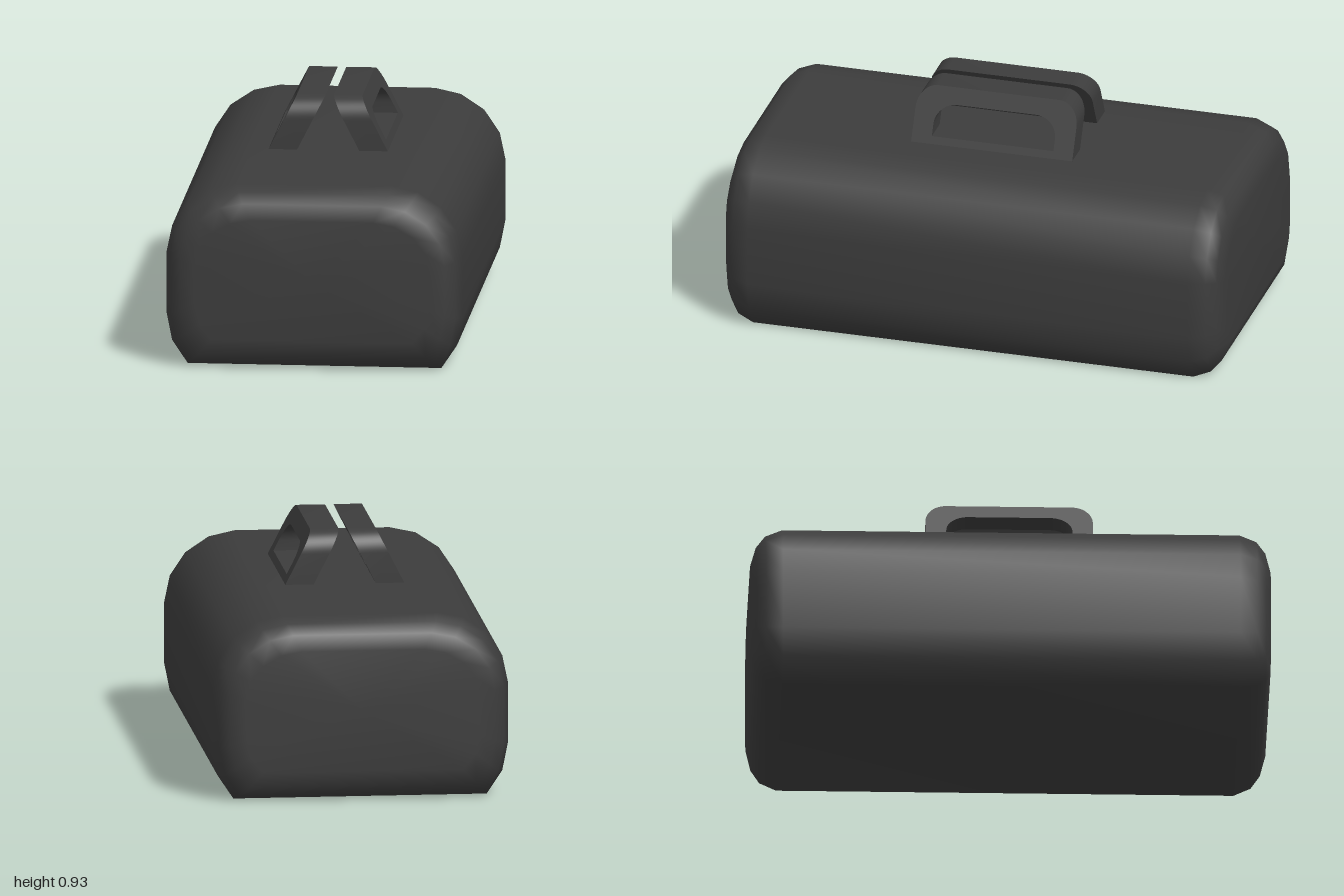
import * as THREE from 'three';
import { toCreasedNormals } from 'three/addons/utils/BufferGeometryUtils.js';

// Right half of the bag's cross-section, bottom to top
const HALF = [[0.49, 0], [0.55, 0.09], [0.572, 0.2], [0.572, 0.435],
  [0.55, 0.54], [0.49, 0.63], [0.4, 0.69], [0.3, 0.712]];
// Rounded ends: [z, inset of the cross-section]
const END = [[1, 0.12], [0.98, 0.06], [0.945, 0.022], [0.88, 0]];

function bodyGeometry() {
  const profile = [...HALF, ...HALF.map(([x, y]) => [-x, y]).reverse()];
  const rings = [...END.map(([z, d]) => [-z, d]), ...[...END].reverse()];
  const n = profile.length, mid = 0.356;
  const pos = [], idx = [];
  for (const [z, d] of rings) {
    for (const [x, y] of profile) {
      pos.push(x * (0.572 - d) / 0.572, mid + (y - mid) * (mid - d) / mid, z);
    }
  }
  for (let i = 0; i < rings.length - 1; i++) {
    for (let j = 0; j < n; j++) {
      const k = (j + 1) % n;
      const a = i * n + j, b = i * n + k;
      idx.push(a, b, b + n, a, b + n, a + n);
    }
  }
  // Flat end caps
  const back = pos.length / 3, front = back + 1, last = (rings.length - 1) * n;
  pos.push(0, mid, -1, 0, mid, 1);
  for (let j = 0; j < n; j++) {
    const k = (j + 1) % n;
    idx.push(back, k, j, front, last + j, last + k);
  }
  const g = new THREE.BufferGeometry();
  g.setAttribute('position', new THREE.Float32BufferAttribute(pos, 3));
  g.setIndex(idx);
  g.computeVertexNormals();
  return g;
}

// Loop with square lower and rounded upper corners
function arch(path, w, y0, y1, rx, ry) {
  path.moveTo(-w, y0);
  path.lineTo(w, y0);
  path.lineTo(w, y1 - ry);
  path.absellipse(w - rx, y1 - ry, rx, ry, 0, Math.PI / 2, false);
  path.lineTo(-w + rx, y1);
  path.absellipse(-w + rx, y1 - ry, rx, ry, Math.PI / 2, Math.PI, false);
  path.closePath();
  return path;
}

function handleGeometry() {
  const shape = arch(new THREE.Shape(), 0.322, 0.725, 0.928, 0.08, 0.085);
  shape.holes.push(arch(new THREE.Path(), 0.243, 0.752, 0.868, 0.085, 0.075));
  const g = new THREE.ExtrudeGeometry(shape, { depth: 0.11, bevelEnabled: false, curveSegments: 6 });
  g.rotateY(Math.PI / 2);
  // Lean the handle inward
  const p = g.attributes.position;
  for (let i = 0; i < p.count; i++) {
    p.setX(i, p.getX(i) + 0.12 - (p.getY(i) - 0.725) * 0.51);
  }
  return toCreasedNormals(g, 0.6);
}

export function createModel() {
  const fabric = new THREE.MeshStandardMaterial({ color: 0x3c3c3c });
  fabric.name = 'charcoal fabric';
  const model = new THREE.Group();
  model.name = 'duffelBag';

  const body = new THREE.Mesh(bodyGeometry(), fabric);
  body.name = 'bagBody';
  model.add(body);

  const geometry = handleGeometry();
  for (const side of ['left', 'right']) {
    const handle = new THREE.Mesh(geometry, fabric);
    handle.name = side + 'Handle';
    if (side === 'right') handle.rotation.y = Math.PI;
    model.add(handle);
  }
  return model;
}
